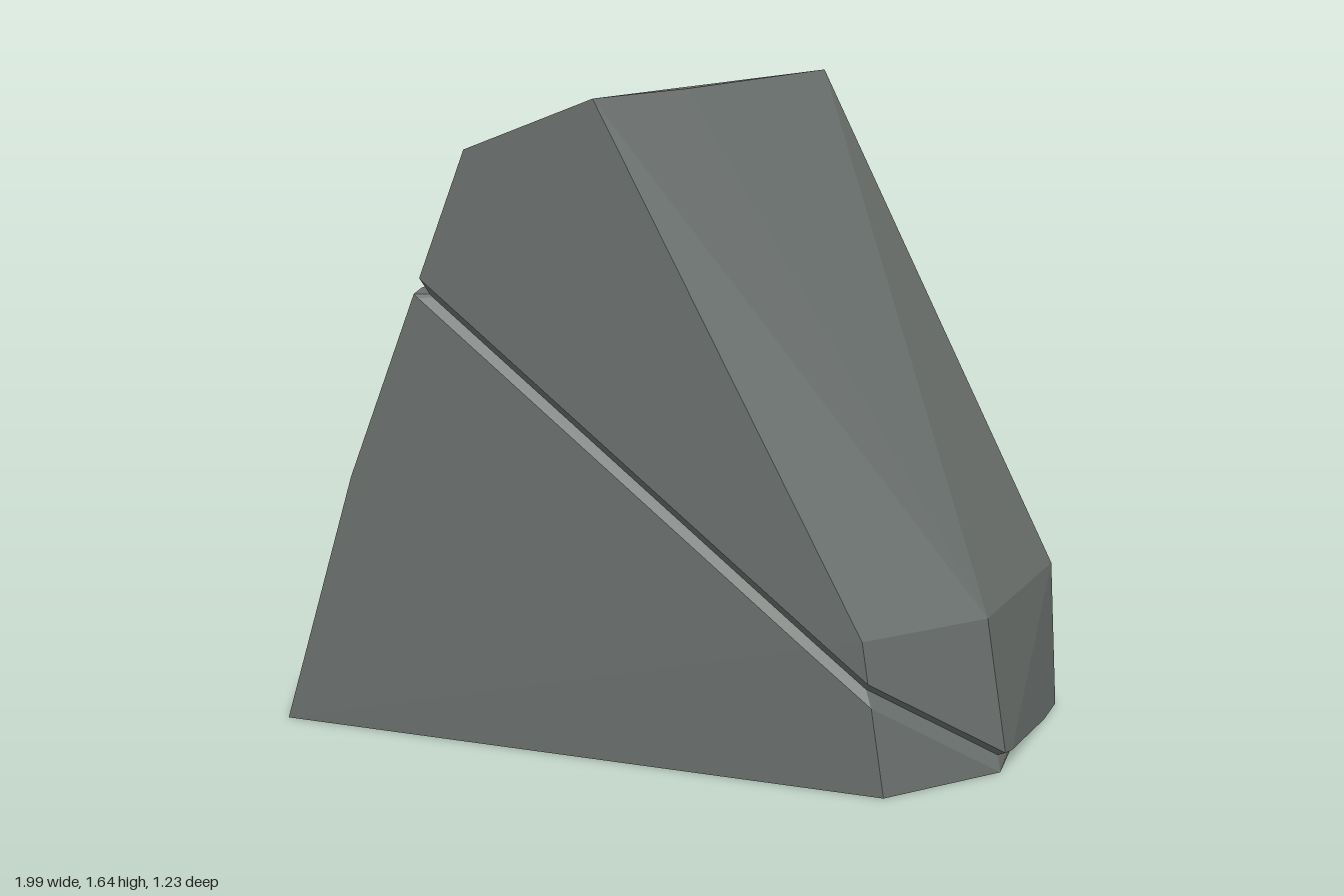
import * as THREE from 'three';
import { ConvexGeometry } from 'three/addons/geometries/ConvexGeometry.js';

// Corners of the boulder, ring by ring
const corners = [
  // base
  [-0.83, 0, 0.615], [-1, 0, 0.28], [-0.87, 0, -0.31], [-0.64, 0, -0.52],
  [0.66, 0, -0.595], [0.91, 0, -0.39], [1, 0, 0.2], [0.81, 0, 0.535],
  // shoulder of the gentle side
  [-0.65, 0.65, 0.575], [-0.74, 0.64, 0.24], [-0.62, 0.62, -0.34], [-0.42, 0.55, -0.56],
  // low shoulder of the steep side
  [0.75, 0.38, 0.535], [0.94, 0.38, 0.2], [0.89, 0.38, -0.39], [0.64, 0.34, -0.605],
  // crown
  [-0.33, 1.5, 0.535], [-0.31, 1.48, 0.2], [-0.17, 1.47, -0.38], [-0.15, 1.33, -0.6],
  [0.02, 1.64, 0.515], [0.12, 1.64, 0.2], [0.225, 1.64, -0.4], [0.14, 1.48, -0.615],
].map((p) => new THREE.Vector3(...p));

// Slanted plane of the crack: height at x, z, and signed height above it
const crackY = (x, z) => 1.15 - 0.732 * (x + 0.46) + 0.2 * (z - 0.54);
const above = (p) => p.y - crackY(p.x, p.z);

// Points where the solid is cut at a given height above the crack plane
function section(level) {
  const cut = [];
  corners.forEach((a, i) => corners.slice(i + 1).forEach((b) => {
    const da = above(a) - level, db = above(b) - level;
    if (da * db < 0) cut.push(a.clone().lerp(b, da / (da - db)));
  }));
  return cut;
}

// Bottom of the crack: the middle section drawn inwards, fading out at the back
function crackBottom() {
  return section(0).map((p) => {
    const depth = THREE.MathUtils.smoothstep(p.z, -0.55, -0.2);
    const x = 0.2 + (p.x - 0.2) * (1 - 0.035 * depth);
    const z = p.z * (1 - 0.045 * depth);
    return new THREE.Vector3(x, crackY(x, z), z);
  });
}

export function createModel() {
  const group = new THREE.Group();
  group.name = 'boulder';
  const stone = new THREE.MeshStandardMaterial({ color: 0x6a706d, flatShading: true });

  // Two halves meeting at the bottom of the V-shaped crack
  for (const [name, side] of [['upperRock', 1], ['lowerRock', -1]]) {
    const level = side * 0.026;
    const points = [
      ...corners.filter((p) => side * (above(p) - level) > 0),
      ...section(level),
      ...crackBottom(),
    ];
    const mesh = new THREE.Mesh(new ConvexGeometry(points), stone);
    mesh.name = name;
    group.add(mesh);
  }
  return group;
}
